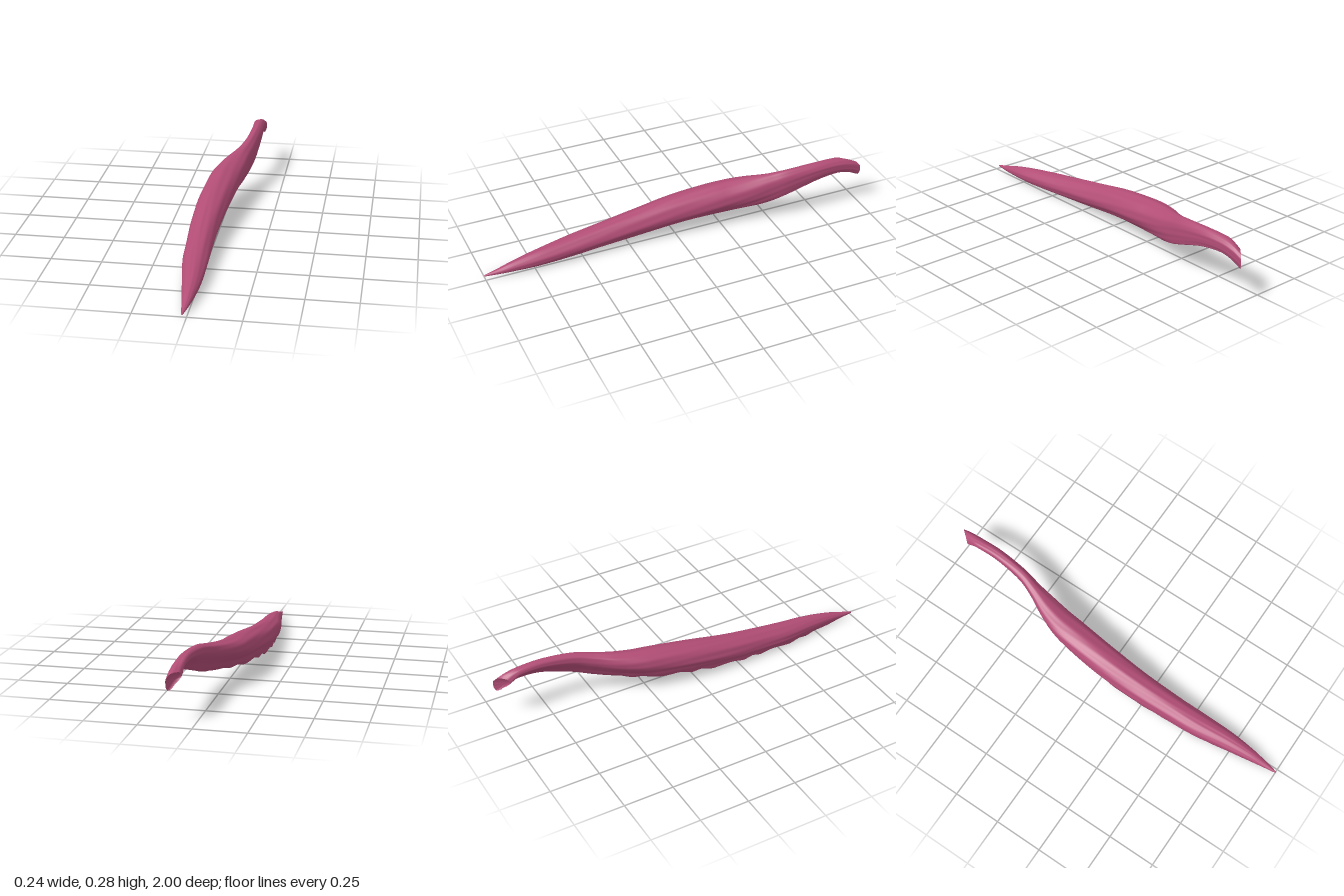
import * as THREE from 'three';

// Stations along the strand: z, left x, right x, low y, high y, blend to the curled profile
const STATIONS = [
  [1.0, -0.024, -0.016, 0.012, 0.019, 0],
  [0.93, -0.035, -0.002, 0.01, 0.036, 0],
  [0.85, -0.048, 0.01, 0.008, 0.058, 0],
  [0.72, -0.07, 0.021, 0.005, 0.083, 0],
  [0.55, -0.098, 0.022, 0.009, 0.105, 0],
  [0.4, -0.108, 0.02, 0.016, 0.126, 0],
  [0.2, -0.119, 0.023, 0.03, 0.156, 0],
  [0.0, -0.12, 0.036, 0.05, 0.19, 0.1],
  [-0.2, -0.105, 0.056, 0.065, 0.215, 0.3],
  [-0.3, -0.087, 0.065, 0.073, 0.224, 0.5],
  [-0.4, -0.047, 0.078, 0.085, 0.235, 0.75],
  [-0.5, 0.008, 0.09, 0.106, 0.25, 0.95],
  [-0.6, 0.044, 0.107, 0.142, 0.268, 1],
  [-0.75, 0.061, 0.118, 0.19, 0.279, 1],
  [-0.87, 0.06, 0.117, 0.203, 0.275, 1],
  [-0.95, 0.06, 0.117, 0.188, 0.262, 1],
  [-1.0, 0.06, 0.117, 0.166, 0.243, 1],
];

// Unit profiles, from the lower lip up the left side, over the top and back underneath
const BODY = [[0.1, 0], [0.02, 0.25], [0, 0.5], [0.1, 0.78], [0.33, 0.96], [0.55, 1], [0.82, 0.88],
  [1, 0.58], [0.98, 0.3], [0.82, 0.1], [0.6, 0.05], [0.4, 0.22], [0.22, 0.16]];
const CURL = [[0.62, 0.08], [0.4, 0.3], [0.15, 0.5], [0, 0.7], [0.08, 0.9], [0.4, 1], [0.75, 0.92],
  [0.97, 0.7], [1, 0.45], [0.97, 0.2], [0.88, 0.02], [0.8, 0], [0.72, 0.02]];

const ROWS = 128, SIDES = 72;

const rail = (a, b) => new THREE.CatmullRomCurve3(
  STATIONS.map((s) => new THREE.Vector3(s[a], s[b], s[0])), false, 'catmullrom', 0.5);
const xRail = rail(1, 2), yRail = rail(3, 4), blendRail = rail(5, 5);

// One closed cross-section with fine lengthwise fibre ripples
function section(t) {
  const xs = xRail.getPoint(t), ys = yRail.getPoint(t);
  const blend = THREE.MathUtils.clamp(blendRail.getPoint(t).x, 0, 1);
  const z = xs.z, w = xs.y - xs.x, h = ys.y - ys.x;
  const outline = new THREE.CatmullRomCurve3(BODY.map(([u, v], i) => new THREE.Vector3(
    THREE.MathUtils.lerp(u, CURL[i][0], blend), THREE.MathUtils.lerp(v, CURL[i][1], blend), 0)), true);
  const points = [];
  for (let j = 0; j < SIDES; j++) {
    const p = outline.getPoint(j / SIDES), a = (j / SIDES) * Math.PI * 2;
    const ripple = 1 + 0.014 * Math.sin(9 * a + 5 * z) + 0.01 * Math.sin(15 * a - 7 * z + 1);
    // Ragged lower lip
    const lip = Math.max(0, Math.cos(a)) ** 12 * (1 - blend) * 0.05 * Math.sin(43 * z + Math.sin(19 * z));
    // Slanted cut at the thin end
    const cut = 0.065 * (1 - p.x) * THREE.MathUtils.smoothstep(-z, 0.85, 1);
    points.push(new THREE.Vector3(
      xs.x + w * (0.5 + (p.x - 0.5) * ripple),
      Math.max(0, ys.x + h * (0.5 + (p.y - 0.5) * ripple + lip)),
      z + cut));
  }
  return points;
}

// Skin lofted through all cross-sections
function buildStrand() {
  const pos = [], index = [];
  for (let i = 0; i <= ROWS; i++) {
    for (const p of section(i / ROWS)) pos.push(p.x, p.y, p.z);
  }
  for (let i = 0; i < ROWS; i++) {
    for (let j = 0; j < SIDES; j++) {
      const k = (j + 1) % SIDES;
      const a = i * SIDES + j, b = i * SIDES + k, c = a + SIDES, d = b + SIDES;
      index.push(a, b, c, b, d, c);
    }
  }
  return finish(pos, index);
}

// End face: a fan around a centre pushed inward by the given depth
function buildCap(t, depth, flip) {
  const ring = section(t), pos = [], index = [];
  const centre = new THREE.Vector3();
  ring.forEach((p) => { pos.push(p.x, p.y, p.z); centre.addScaledVector(p, 1 / SIDES); });
  pos.push(centre.x, centre.y, centre.z + depth);
  for (let j = 0; j < SIDES; j++) {
    const k = (j + 1) % SIDES;
    index.push(SIDES, ...(flip ? [k, j] : [j, k]));
  }
  return finish(pos, index);
}

function finish(pos, index) {
  const geometry = new THREE.BufferGeometry();
  geometry.setAttribute('position', new THREE.Float32BufferAttribute(pos, 3));
  geometry.setIndex(index);
  geometry.computeVertexNormals();
  return geometry;
}

export function createModel() {
  const group = new THREE.Group();
  group.name = 'muscleStrand';
  const flesh = new THREE.MeshStandardMaterial({ color: 0xb24d76, side: THREE.DoubleSide });
  flesh.name = 'rose flesh';
  const add = (name, geometry) => {
    const mesh = new THREE.Mesh(geometry, flesh);
    mesh.name = name;
    group.add(mesh);
  };
  add('muscleBelly', buildStrand());
  add('pointedTip', buildCap(0, 0.004, true));
  add('hollowStalkEnd', buildCap(1, 0.03, false));
  return group;
}
